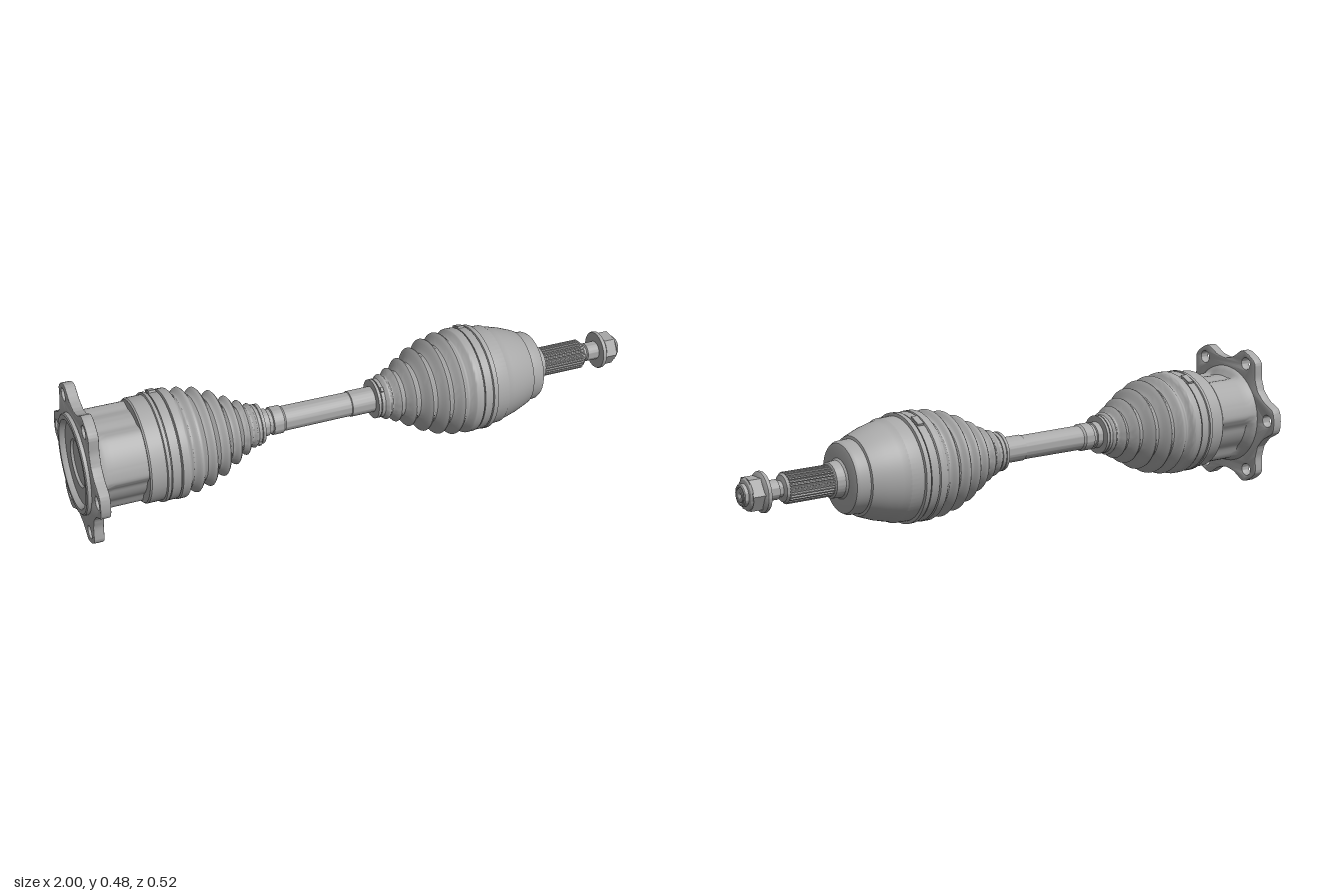
import * as THREE from 'three';
import { toCreasedNormals } from 'three/addons/utils/BufferGeometryUtils.js';

const steel = new THREE.MeshStandardMaterial({ color: 0xa8a8a8 });
steel.name = 'grey steel';

function part(name, geometry, crease = 0.6) {
  const mesh = new THREE.Mesh(toCreasedNormals(geometry, crease), steel);
  mesh.name = name;
  return mesh;
}

// Turned shape about the x axis from [x, radius] pairs
function turned(points, segments = 64) {
  const profile = points.map(([x, r]) => new THREE.Vector2(r, x));
  return new THREE.LatheGeometry(profile, segments).rotateZ(-Math.PI / 2);
}

// Rounded profile through alternating ridges and valleys
function pleats(points) {
  const curve = new THREE.CatmullRomCurve3(
    points.map(([x, r]) => new THREE.Vector3(x, r, 0)), false, 'catmullrom', 0.35);
  return curve.getPoints((points.length - 1) * 5).map(p => [p.x, p.y]);
}

// Extrude along x, starting at the given x
function alongX(shape, x, depth, bevel) {
  return new THREE.ExtrudeGeometry(shape, {
    depth: depth - 2 * bevel, bevelEnabled: bevel > 0, bevelSize: bevel,
    bevelThickness: bevel, bevelOffset: -bevel, bevelSegments: 2, curveSegments: 24
  }).rotateY(Math.PI / 2).translate(x + bevel, 0, 0);
}

// Six-eared plate with bolt holes
function flangeShape() {
  const half = [[0.26, 0.022], [0.252, 0.042], [0.235, 0.053], [0.205, 0.07], [0.186, 0.09]];
  const ear = [...half.map(([u, v]) => [u, -v]).reverse(), ...half, [0.176, 0.1015]];
  const outline = [];
  for (let i = 0; i < 6; i++) {
    const c = Math.cos(i * Math.PI / 3), s = Math.sin(i * Math.PI / 3);
    for (const [u, v] of ear) outline.push(new THREE.Vector3(u * c - v * s, u * s + v * c, 0));
  }
  const smooth = new THREE.CatmullRomCurve3(outline, true).getPoints(264).slice(0, -1);
  const shape = new THREE.Shape(smooth.map(p => new THREE.Vector2(p.x, p.y)));
  for (let i = 0; i < 6; i++) {
    const a = i * Math.PI / 3;
    shape.holes.push(new THREE.Path().absarc(0.224 * Math.cos(a), 0.224 * Math.sin(a), 0.021, 0, Math.PI * 2, true));
  }
  shape.holes.push(new THREE.Path().absarc(0, 0, 0.15, 0, Math.PI * 2, true));
  return shape;
}

// Inner joint housing with three shallow scallops that fade into the flange
function scallopedHousing() {
  const g = turned([[-0.95, 0.176], [-0.942, 0.174], [-0.932, 0.168], [-0.92, 0.165],
    [-0.9, 0.165], [-0.8, 0.165], [-0.78, 0.165]], 120);
  const p = g.attributes.position;
  for (let i = 0; i < p.count; i++) {
    const y = p.getY(i), z = p.getZ(i);
    const wave = Math.cos(3 * (Math.atan2(y, z) - Math.PI / 2));
    const depth = 0.024 * THREE.MathUtils.smoothstep(wave, -0.3, 0.7)
      * THREE.MathUtils.smoothstep(p.getX(i), -0.945, -0.915);
    const k = 1 - depth / Math.hypot(y, z);
    p.setY(i, y * k);
    p.setZ(i, z * k);
  }
  return g;
}

// Band clamp with a crimped ear
function clamp(name, x, width, radius, angle) {
  const group = new THREE.Group();
  group.name = name;
  const h = width / 2, t = 0.005;
  group.add(part('band', turned([[x - h, radius - t], [x - h, radius], [x + h, radius], [x + h, radius - t]])));
  const ear = part('crimpEar', new THREE.BoxGeometry(width * 0.8, 0.01, radius * 0.25));
  ear.position.set(x, (radius + 0.001) * Math.cos(angle), (radius + 0.001) * Math.sin(angle));
  ear.rotation.x = angle;
  group.add(ear);
  return group;
}

function splineShape(teeth, inner, outer) {
  const points = [];
  for (let i = 0; i < teeth; i++) {
    [[0, inner], [0.3, inner], [0.45, outer], [0.85, outer]].forEach(([f, r]) => {
      const a = (i + f) / teeth * Math.PI * 2;
      points.push(new THREE.Vector2(r * Math.cos(a), r * Math.sin(a)));
    });
  }
  return new THREE.Shape(points);
}

export function createModel() {
  const model = new THREE.Group();
  model.name = 'driveAxle';
  const axle = new THREE.Group();
  axle.name = 'tiltedAxle';
  axle.position.y = 0.205;
  axle.rotation.z = -0.0367;
  model.add(axle);

  // Mounting flange, its dished back and the inner housing
  axle.add(part('flange', alongX(flangeShape(), -0.98, 0.035, 0.004)));
  axle.add(part('flangeBack', turned([[-0.968, 0], [-0.968, 0.075], [-0.976, 0.08], [-0.976, 0.138],
    [-0.991, 0.144], [-0.994, 0.147], [-0.994, 0.162], [-0.991, 0.166], [-0.978, 0.168]])));
  axle.add(part('innerHousing', scallopedHousing(), 0.7));

  // Inner boot: seat, pleats and small neck
  axle.add(part('innerBootSeat', turned([[-0.79, 0.14], [-0.79, 0.17], [-0.785, 0.174], [-0.735, 0.174],
    [-0.733, 0.181], [-0.722, 0.181], [-0.72, 0.174], [-0.685, 0.174], [-0.683, 0.182], [-0.665, 0.182]])));
  axle.add(part('innerBoot', turned(pleats([[-0.668, 0.182], [-0.655, 0.18], [-0.638, 0.158],
    [-0.612, 0.175], [-0.588, 0.147], [-0.562, 0.165], [-0.537, 0.125], [-0.51, 0.143], [-0.486, 0.1],
    [-0.462, 0.115], [-0.44, 0.08], [-0.422, 0.092], [-0.404, 0.067], [-0.39, 0.075], [-0.376, 0.06]])), 1));
  axle.add(part('innerBootNeck', turned([[-0.385, 0.06], [-0.383, 0.062], [-0.37, 0.062],
    [-0.368, 0.067], [-0.358, 0.067], [-0.356, 0.04]])));
  axle.add(clamp('innerLargeClamp', -0.703, 0.03, 0.179, -0.45));
  axle.add(clamp('innerSmallClamp', -0.377, 0.012, 0.067, 2.2));

  // Centre shaft with grooved collars
  axle.add(part('shaft', turned([[-0.37, 0.046], [-0.335, 0.046], [-0.333, 0.041], [-0.322, 0.041],
    [-0.32, 0.047], [-0.285, 0.047], [-0.278, 0.042], [-0.05, 0.041], [-0.04, 0.041], [-0.038, 0.044],
    [0.02, 0.044], [0.08, 0.044]])));

  // Outer boot
  axle.add(part('outerBootNeck', turned([[0.045, 0.04], [0.047, 0.067], [0.057, 0.067], [0.059, 0.062],
    [0.072, 0.062], [0.076, 0.066]])));
  axle.add(clamp('outerSmallClamp', 0.066, 0.012, 0.067, 0.6));
  axle.add(part('outerBoot', turned(pleats([[0.07, 0.062], [0.086, 0.078], [0.1, 0.068], [0.12, 0.093],
    [0.14, 0.08], [0.163, 0.118], [0.187, 0.1], [0.212, 0.145], [0.237, 0.125], [0.263, 0.166],
    [0.288, 0.145], [0.315, 0.178], [0.338, 0.16], [0.36, 0.181], [0.374, 0.182]])), 1));
  axle.add(part('outerBootSeat', turned([[0.372, 0.182], [0.385, 0.182], [0.388, 0.175], [0.42, 0.175],
    [0.422, 0.182], [0.438, 0.182], [0.44, 0.17]])));
  axle.add(clamp('outerLargeClamp', 0.404, 0.028, 0.18, -0.45));

  // Outer joint housing
  axle.add(part('outerHousing', turned([[0.435, 0.172], [0.485, 0.171], [0.492, 0.166], [0.51, 0.162],
    [0.55, 0.151], [0.595, 0.134], [0.603, 0.13], [0.605, 0.121], [0.64, 0.119], [0.65, 0.113],
    [0.652, 0.105], [0.654, 0.066], [0.66, 0.06], [0.69, 0.058], [0.695, 0.045]])));

  // Splined stub, threaded end and nut
  axle.add(part('splines', alongX(splineShape(30, 0.045, 0.051), 0.69, 0.158, 0), 0.3));
  axle.add(part('stubNeck', turned([[0.845, 0.049], [0.856, 0.043], [0.86, 0.026], [0.872, 0.026],
    [0.875, 0.032], [0.93, 0.032]])));
  axle.add(part('nutWasher', turned([[0.918, 0.03], [0.918, 0.064], [0.922, 0.066], [0.93, 0.065],
    [0.938, 0.053], [0.938, 0.03]])));
  axle.add(part('hexNut', new THREE.CylinderGeometry(0.057, 0.057, 0.044, 6)
    .rotateZ(-Math.PI / 2).translate(0.955, 0, 0)));
  axle.add(part('nutCollar', turned([[0.975, 0.053], [0.981, 0.047], [0.983, 0.036], [0.994, 0.035],
    [0.997, 0.032], [0.997, 0.026], [0.991, 0.024], [0.998, 0.022], [0.998, 0.01], [0.99, 0]], 48)));
  return model;
}
